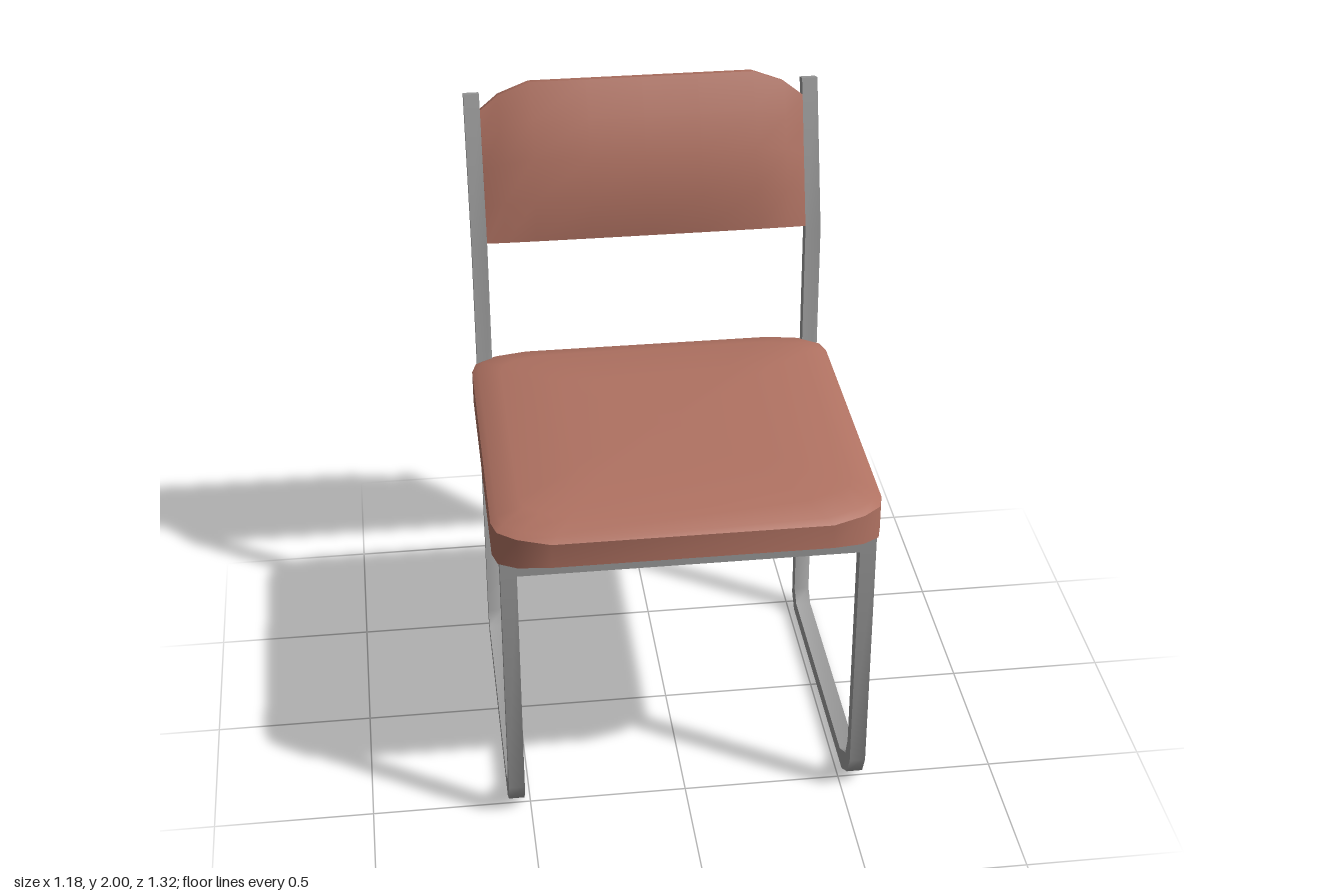
import * as THREE from 'three';
import { toCreasedNormals } from 'three/addons/utils/BufferGeometryUtils.js';

const upholstery = new THREE.MeshStandardMaterial({ color: 0xb07262 });
upholstery.name = 'terracotta upholstery';
const steel = new THREE.MeshStandardMaterial({ color: 0x9c9c9c });
steel.name = 'grey steel';

// Surface from patches; each patch is a list of point rows (row runs right, next row is up).
function patchGeometry(patches) {
  const pos = [];
  for (const rows of patches) {
    for (let i = 0; i < rows.length - 1; i++) {
      for (let j = 0; j < rows[i].length - 1; j++) {
        const a = rows[i][j], b = rows[i][j + 1], c = rows[i + 1][j + 1], d = rows[i + 1][j];
        pos.push(...a, ...b, ...c, ...a, ...c, ...d);
      }
    }
  }
  const g = new THREE.BufferGeometry();
  g.setAttribute('position', new THREE.Float32BufferAttribute(pos, 3));
  return toCreasedNormals(g, 0.7);
}

function add(group, name, geometry, material) {
  const m = new THREE.Mesh(geometry, material);
  m.name = name;
  group.add(m);
  return m;
}

// Cushion: rounded outline, lofted wall, domed top, underside curling up at the ends
function seatGeometry() {
  const right = [[0.42, 0.66], [0.52, 0.62], [0.575, 0.575], [0.59, 0.52],
    [0.59, -0.4], [0.575, -0.45], [0.52, -0.49], [0.42, -0.51]];
  const left = right.map(([x, z]) => [-x, z]);
  const loop = [...right, ...left.slice().reverse(), right[0]];
  const cz = 0.075;
  const bottomY = (z) => z > 0.65 ? 1.0 : z > 0.6 ? 0.98 : z < -0.5 ? 0.985 : z < -0.48 ? 0.975 : 0.97;
  const lower = loop.map(([x, z]) => [x, bottomY(z), z]);
  const ring = (inset, y) => loop.map(([x, z]) =>
    [x * (1 - inset / 0.59), y, cz + (z - cz) * (1 - inset / 0.585)]);
  const rim = ring(0, 1.08);
  const dome = [rim, ring(0.02, 1.095), ring(0.09, 1.115), ring(0.28, 1.13), ring(0.59, 1.132)];
  const underside = right.map((p, k) => {
    const y = bottomY(p[1]);
    return [[left[k][0], y, p[1]], [p[0], y, p[1]]];
  }).reverse();
  return patchGeometry([[lower, rim], dome, underside]);
}

// Back panel: flat behind, padded in front, leaning with the posts
function backrestGeometry() {
  const xs = [-0.52, -0.46, -0.36, -0.18, 0, 0.18, 0.36, 0.46, 0.52];
  const topY = { 0.52: 1.92, 0.46: 1.965, 0.36: 2, 0.18: 2, 0: 2 };
  const swell = { 0.52: 0, 0.46: 0.45, 0.36: 0.8, 0.18: 1, 0: 1 };
  const profile = [[0, 0.004], [0.28, 0.05], [0.55, 0.052], [0.78, 0.043], [1, 0.004]];
  const lean = (y) => -0.47 - (y - 1.51) * 0.3;
  const front = profile.map(([v, pad]) => xs.map((x) => {
    const k = Math.abs(x), y = 1.51 + v * (topY[k] - 1.51);
    return [x, y, lean(y) + pad * swell[k]];
  }));
  const back = profile.map(([v]) => xs.map((x) => {
    const y = 1.51 + v * (topY[Math.abs(x)] - 1.51);
    return [x, y - 0.013, lean(y) - 0.043];
  }));
  const n = xs.length - 1, top = profile.length - 1;
  return patchGeometry([
    front,
    back.map((r) => r.slice().reverse()),
    [front[top], back[top]],
    [back[0], front[0]],
    front.map((r, i) => [r[n], back[i][n]]),
    front.map((r, i) => [back[i][0], r[0]]),
  ]);
}

// Side frame: one bent square tube, drawn in (z, y) and extruded along x
function sideFrameGeometry() {
  const outline = [
    [0.575, 0.97], [0.53, 0.97], [0.53, 0.17], [0.505, 0.1], [0.42, 0.05],
    [-0.41, 0.05], [-0.45, 0.09], [-0.468, 1.5], [-0.61, 1.97],
    [-0.655, 1.957], [-0.512, 1.49], [-0.495, 0.045], [-0.45, 0],
    [0.46, 0], [0.54, 0.05], [0.575, 0.12],
  ].map(([z, y]) => new THREE.Vector2(z, y));
  const g = new THREE.ExtrudeGeometry(new THREE.Shape(outline), { depth: 0.05, bevelEnabled: false });
  g.rotateY(-Math.PI / 2);
  g.translate(0.025, 0, 0);
  return toCreasedNormals(g, 0.85);
}

export function createModel() {
  const chair = new THREE.Group();
  chair.name = 'chair';

  add(chair, 'seat', seatGeometry(), upholstery);
  add(chair, 'backrest', backrestGeometry(), upholstery);

  // Side frames and the rails beneath the seat
  const frame = sideFrameGeometry();
  const sideRail = new THREE.BoxGeometry(0.05, 0.05, 0.98);
  for (const [side, s] of [['left', 1], ['right', -1]]) {
    add(chair, side + 'SideFrame', frame, steel).position.x = s * 0.545;
    add(chair, side + 'SeatRail', sideRail, steel).position.set(s * 0.545, 0.945, 0.04);
  }
  const crossRail = new THREE.BoxGeometry(1.04, 0.05, 0.045);
  add(chair, 'frontSeatRail', crossRail, steel).position.set(0, 0.945, 0.5525);
  add(chair, 'backSeatRail', crossRail, steel).position.set(0, 0.945, -0.4275);

  return chair;
}
